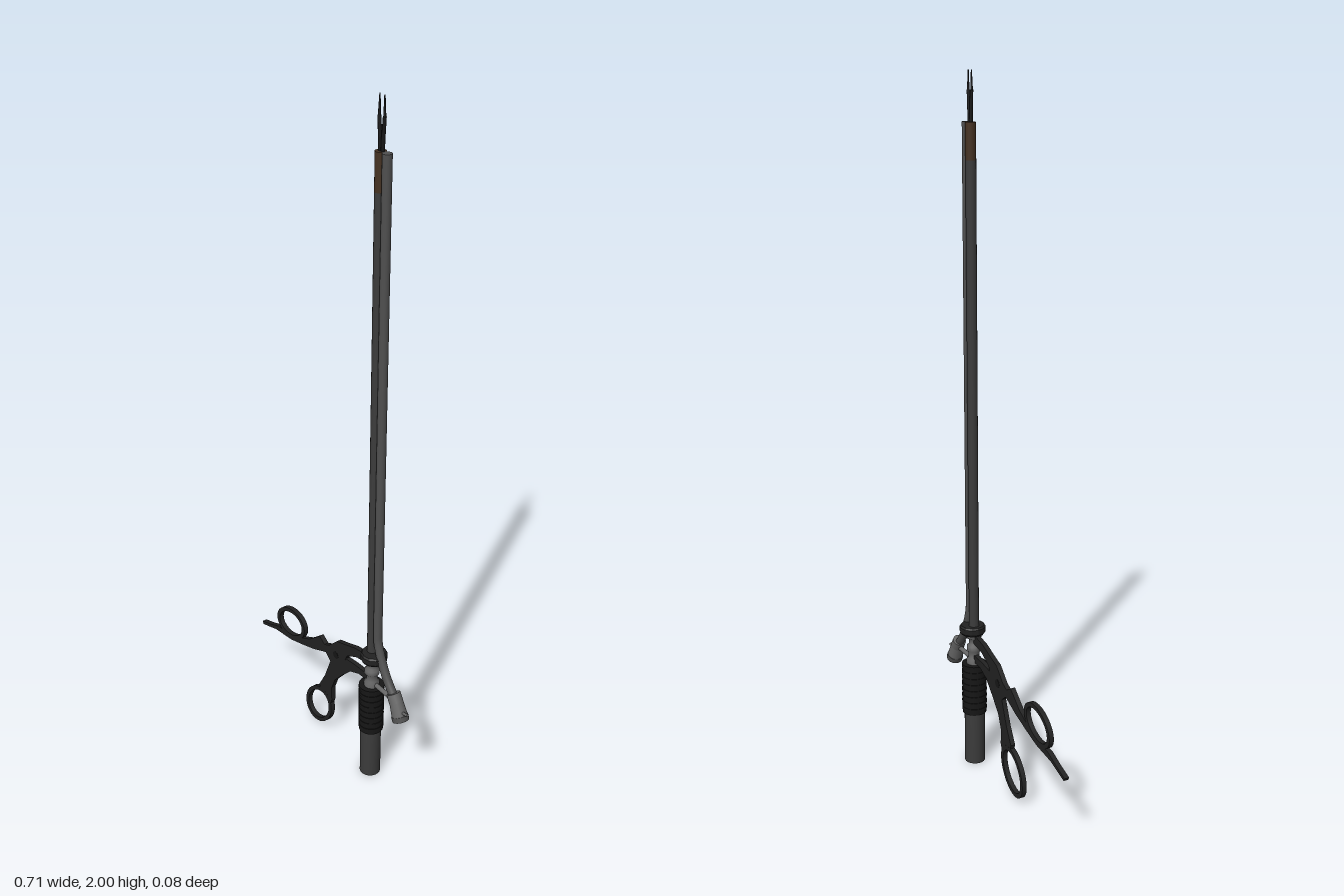
import * as THREE from 'three';

const mat = (color) => new THREE.MeshStandardMaterial({ color, side: THREE.DoubleSide });
const dark = mat(0x222222), black = mat(0x161616), grey = mat(0x3c3c3c), tubeGrey = mat(0x505050);
const pale = mat(0x666666), brown = mat(0x453222);
const V = (x, y, z = 0) => new THREE.Vector3(x, y, z);

export function createModel() {
  const root = new THREE.Group();
  const add = (name, geo, material, parent = root) => {
    const m = new THREE.Mesh(geo, material);
    m.name = name;
    parent.add(m);
    return m;
  };
  // Straight rod between two points
  const rod = (name, a, b, ra, rb, material, sides = 16) => {
    const m = add(name, new THREE.CylinderGeometry(rb, ra, a.distanceTo(b), sides), material);
    m.position.copy(a).lerp(b, 0.5);
    m.quaternion.setFromUnitVectors(V(0, 1), b.clone().sub(a).normalize());
    return m;
  };
  // Stepped solid of revolution with hard edges: rows of [radius, y]
  const turned = (name, rows, material, x, sides = 24) => {
    const pts = rows.map(([r, y]) => new THREE.Vector2(r, y));
    const m = add(name, new THREE.LatheGeometry(pts, sides), material);
    m.position.x = x;
    return m;
  };
  // Thin plate extruded evenly about z = 0
  const plate = (name, shape, material, depth = 0.014) => {
    const geo = new THREE.ExtrudeGeometry(shape, { depth, bevelEnabled: false, curveSegments: 32 });
    geo.translate(0, 0, -depth / 2);
    return add(name, geo, material);
  };
  const outline = (pts) => new THREE.Shape(pts.map(([x, y]) => new THREE.Vector2(x, y)));
  const fingerRing = (name, x, y, a, b, tilt) => {
    const s = new THREE.Shape();
    s.absellipse(0, 0, a, b, 0, Math.PI * 2);
    const hole = new THREE.Path();
    hole.absellipse(0, 0, a - 0.014, b - 0.012, 0, Math.PI * 2, true);
    s.holes.push(hole);
    const m = plate(name, s, dark);
    m.position.set(x, y, 0);
    m.rotation.z = tilt;
  };

  // Long twin shaft
  rod('mainShaft', V(0.191, 0.4), V(0.191, 1.77), 0.0145, 0.0145, grey);
  rod('shaftTip', V(0.191, 1.77), V(0.191, 1.868), 0.0145, 0.0145, brown);
  rod('sideShaft', V(0.215, 0.5), V(0.215, 1.868), 0.0125, 0.0125, tubeGrey);

  // Side tube bending out to the port
  const bend = new THREE.CatmullRomCurve3([V(0.215, 0.52), V(0.217, 0.48), V(0.235, 0.425), V(0.262, 0.375), V(0.3, 0.328)]);
  add('branchTube', new THREE.TubeGeometry(bend, 20, 0.0125, 12), tubeGrey);
  rod('portCollar', V(0.289, 0.348), V(0.303, 0.325), 0.02, 0.02, pale, 12);
  rod('portBody', V(0.3, 0.332), V(0.321, 0.285), 0.019, 0.023, pale, 12);
  rod('portRim', V(0.319, 0.29), V(0.325, 0.276), 0.024, 0.024, tubeGrey, 12);
  rod('portNub', V(0.325, 0.304), V(0.353, 0.31), 0.005, 0.004, pale, 8);
  rod('portBrace', V(0.195, 0.325), V(0.3, 0.325), 0.007, 0.007, pale, 10);

  // Flange, neck, grip and lower barrel
  turned('flange', [[0, 0.408], [0.034, 0.408], [0.038, 0.414], [0.038, 0.43], [0.034, 0.435], [0, 0.435]], dark, 0.2, 12)
    .material = Object.assign(dark.clone(), { flatShading: true });
  turned('neck', [[0.022, 0.31], [0.022, 0.33], [0.016, 0.335], [0.016, 0.352], [0.021, 0.358],
    [0.021, 0.372], [0.014, 0.378], [0.014, 0.392], [0.022, 0.398], [0.022, 0.41]], pale, 0.192, 16);
  rod('grip', V(0.191, 0.16), V(0.191, 0.316), 0.035, 0.035, black, 24);
  for (let i = 0; i < 8; i++) {
    const y = 0.17 + i * 0.0195;
    rod('gripRib', V(0.191, y), V(0.191, y + 0.01), 0.0365, 0.0365, black, 24);
  }
  turned('lowerBarrel', [[0, 0.03], [0.024, 0.03], [0.024, 0], [0.03, 0], [0.03, 0.165]], grey, 0.19);

  // Upper handle: arm, finger ring and spur
  plate('upperArm', outline([
    [-0.355, 0.212], [-0.31, 0.227], [-0.265, 0.246], [-0.2, 0.25], [-0.135, 0.28], [-0.1, 0.298],
    [-0.05, 0.34], [-0.026, 0.324], [-0.005, 0.334], [0.035, 0.373], [0.07, 0.384], [0.12, 0.402],
    [0.18, 0.412], [0.18, 0.383], [0.13, 0.375], [0.085, 0.352], [0.07, 0.32], [0.035, 0.285],
    [0.005, 0.28], [-0.02, 0.3], [-0.08, 0.274], [-0.14, 0.254], [-0.2, 0.236], [-0.28, 0.226], [-0.35, 0.203],
  ]), dark);
  fingerRing('upperRing', -0.2, 0.296, 0.074, 0.051, 0.36);

  // Lower handle: arm and finger ring
  plate('lowerArm', outline([
    [0.18, 0.346], [0.12, 0.343], [0.06, 0.335], [0.01, 0.3], [-0.005, 0.26], [-0.025, 0.21],
    [-0.052, 0.162], [-0.046, 0.142], [-0.02, 0.143], [0.0, 0.115], [0.01, 0.14], [0.009, 0.185],
    [0.025, 0.225], [0.06, 0.265], [0.1, 0.305], [0.14, 0.322], [0.18, 0.324],
  ]), dark, 0.0136);
  fingerRing('lowerRing', -0.057, 0.082, 0.077, 0.055, 0.9);

  // Pivot between the handles
  rod('pivotPin', V(0.03, 0.32, -0.008), V(0.03, 0.32, 0.008), 0.012, 0.012, black, 16);

  // Twin forceps jaws at the far end
  for (const s of [-1, 1]) {
    const x = (d) => 0.193 + s * d;
    rod('jawBase', V(x(0.004), 1.85), V(x(0.006), 1.9), 0.005, 0.005, black, 8);
    rod('jawMiddle', V(x(0.006), 1.9), V(x(0.01), 1.95), 0.005, 0.0045, black, 8);
    rod('jawTip', V(x(0.01), 1.95), V(x(0.009), 2.0), 0.0035, 0.0015, black, 8);
  }
  return root;
}
